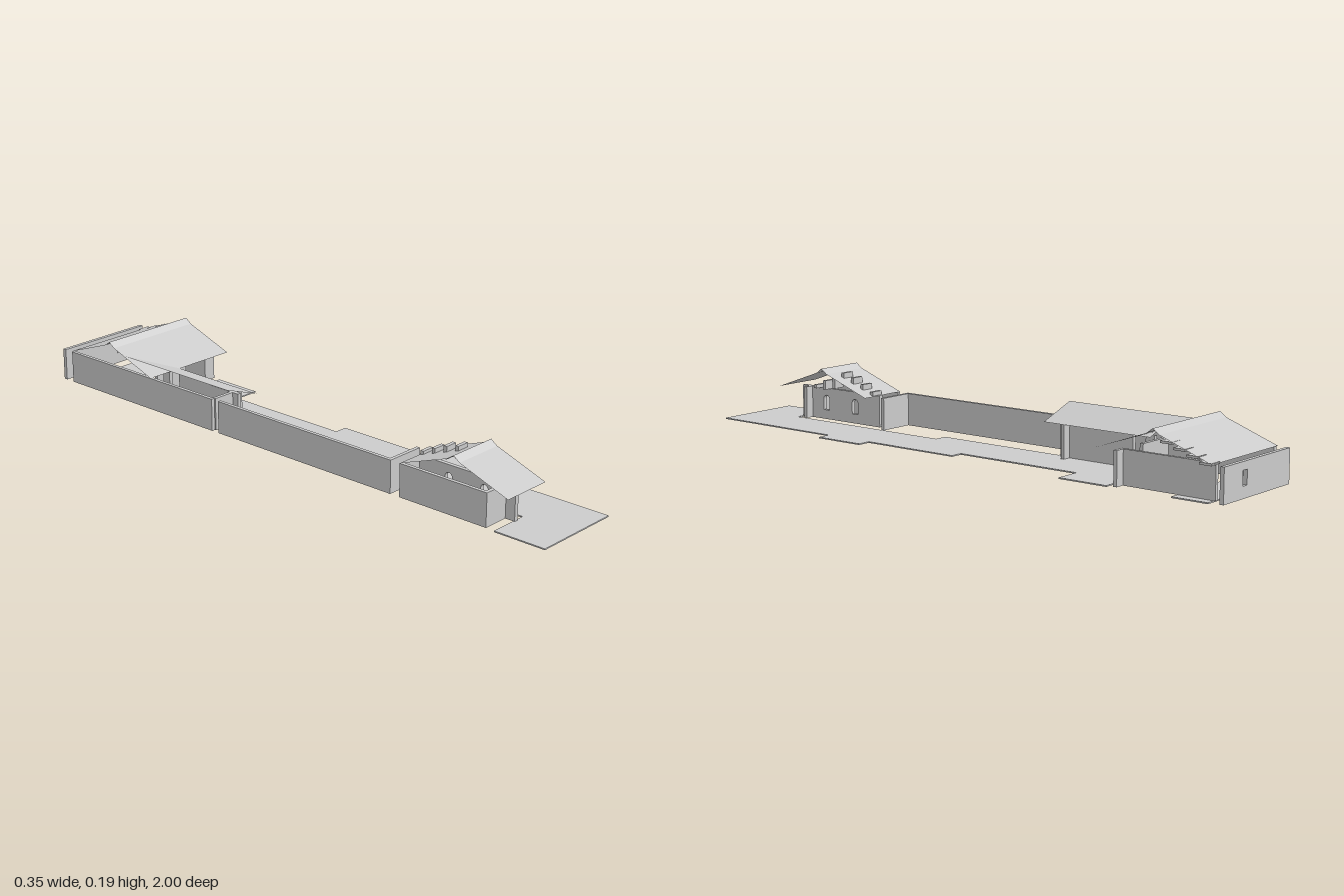
import * as THREE from 'three';

export function createModel() {
  const model = new THREE.Group();
  const mat = new THREE.MeshStandardMaterial({ color: 0xcccccc, flatShading: true, side: THREE.DoubleSide });
  const BASE = 0.004, TOP = 0.11;

  const add = (name, geo, parent = model) => {
    const m = new THREE.Mesh(geo, mat);
    m.name = name;
    parent.add(m);
    return m;
  };

  // Box given by its limits on each axis
  const block = (name, x0, x1, y0, y1, z0, z1) => {
    const m = add(name, new THREE.BoxGeometry(x1 - x0, y1 - y0, z1 - z0));
    m.position.set((x0 + x1) / 2, (y0 + y1) / 2, (z0 + z1) / 2);
    return m;
  };
  const wall = (name, x0, x1, z0, z1) => block(name, x0, x1, BASE, TOP, z0, z1);

  // Upright panel with openings, drawn in its own plane
  const panel = (name, a0, a1, holes, thick) => {
    const s = new THREE.Shape([[a0, BASE], [a1, BASE], [a1, TOP], [a0, TOP]].map(p => new THREE.Vector2(...p)));
    for (const { a, w, y0, y1, arched } of holes) {
      const h = new THREE.Path();
      const r = w / 2;
      h.moveTo(a - r, y0);
      if (arched) {
        h.lineTo(a - r, y1 - r);
        h.absarc(a, y1 - r, r, Math.PI, 0, true);
      } else {
        h.lineTo(a - r, y1);
        h.lineTo(a + r, y1);
      }
      h.lineTo(a + r, y0);
      h.closePath();
      s.holes.push(h);
    }
    return add(name, new THREE.ExtrudeGeometry(s, { depth: thick, bevelEnabled: false, curveSegments: 6 }));
  };

  // Thin sheet from four corners
  const sheet = (name, ...c) => {
    const g = new THREE.BufferGeometry();
    g.setAttribute('position', new THREE.Float32BufferAttribute(c.flat(), 3));
    g.setIndex([0, 1, 2, 0, 2, 3]);
    g.computeVertexNormals();
    return add(name, g);
  };

  // Gabled roof: two slopes and a steeper ridge cap
  const gableRoof = (name, x0, x1, zc) => {
    const profile = [[0.195, 0.11], [0.022, 0.172], [0, 0.188], [-0.022, 0.172], [-0.195, 0.11]];
    for (let i = 0; i < 4; i++) {
      const [za, ya] = profile[i], [zb, yb] = profile[i + 1];
      sheet(name + (i % 3 ? 'RidgeCap' : 'Slope'),
        [x0, ya, zc + za], [x1, ya, zc + za], [x1, yb, zc + zb], [x0, yb, zc + zb]);
    }
  };

  // Paved ground
  const outline = [
    [-0.175, 1], [0.127, 1], [0.127, 0.52], [0.172, 0.52], [0.172, 0.345], [0.127, 0.345],
    [0.127, 0], [0.085, 0], [0.085, -0.44], [0.172, -0.44], [0.172, -0.61], [-0.087, -0.61],
    [-0.087, -0.285], [-0.13, -0.285], [-0.13, -0.245], [-0.087, -0.245],
    [-0.087, 0.21], [-0.043, 0.21], [-0.043, 0.825], [-0.175, 0.825],
  ];
  const ground = new THREE.ExtrudeGeometry(
    new THREE.Shape(outline.map(([x, z]) => new THREE.Vector2(x, -z))), { depth: 0.004, bevelEnabled: false });
  ground.rotateX(-Math.PI / 2);
  add('ground', ground);
  block('rearFloor', -0.14, 0.172, 0, 0.004, -0.95, -0.83);

  // Long boundary walls
  wall('rearBoundaryWall', -0.175, -0.163, -0.955, -0.29);
  wall('middleBoundaryWall', -0.175, -0.163, -0.262, 0.446);
  wall('middleReturnWall', -0.163, -0.043, 0.434, 0.446);
  wall('frontBoundaryWall', -0.175, -0.163, 0.48, 0.797);
  panel('backWall', -0.175, 0.172, [{ a: 0.064, w: 0.022, y0: 0.04, y1: 0.085 }], 0.013).position.z = -1;

  // Front house
  wall('frontHouseFrontWall', -0.163, -0.087, 0.785, 0.797);
  wall('frontHouseStub', -0.073, -0.045, 0.785, 0.797);
  const side = panel('frontHouseSideWall', -0.83, -0.48,
    [0.72, 0.59].map(z => ({ a: -z, w: 0.026, y0: 0.035, y1: 0.085, arched: true })), 0.014);
  side.rotation.y = Math.PI / 2;
  side.position.x = -0.087;
  gableRoof('frontRoof', -0.175, -0.003, 0.675);

  // Stepped gable uprights
  const heights = [0.125, 0.145, 0.163, 0.175, 0.158, 0.14, 0.122];
  heights.forEach((h, i) => {
    const z = 0.49 + i * 0.0425;
    block('gableStep', -0.087, -0.045, Math.max(TOP, h - 0.04), h, z - 0.006, z + 0.006);
  });

  // Rear house
  wall('rearHouseFrontWall', -0.087, 0.043, -0.646, -0.634);
  wall('rearHouseStub', 0.13, 0.172, -0.646, -0.634);
  wall('rearHouseSideWall', 0.13, 0.142, -0.955, -0.646);
  gableRoof('rearRoof', -0.175, 0.172, -0.765);
  for (let i = 0; i < 4; i++) {
    const z = -0.81 - i * 0.043, y = 0.157 - i * 0.0145;
    block('rearGableStep', 0.13, 0.172, y - 0.007, y, z - 0.02, z + 0.02);
  }

  // Side wing between the houses
  wall('wingFrontWall', -0.163, -0.087, -0.297, -0.285);
  wall('wingStub', -0.073, -0.045, -0.297, -0.285);
  wall('wingSideWall', -0.087, -0.073, -0.53, -0.262);
  wall('wingPost', -0.087, -0.073, -0.605, -0.575);

  // Lean-to roof, high at the boundary, ending in steps against the rear roof
  const leanY = x => 0.157 - (x + 0.175) * 0.047 / 0.13;
  const lean = (name, x0, x1, z0, z1) => sheet(name,
    [x0, leanY(x0), z1], [x1, leanY(x1), z1], [x1, leanY(x1), z0], [x0, leanY(x0), z0]);
  lean('wingRoof', -0.175, -0.045, -0.57, -0.22);
  for (let i = 0; i < 3; i++) {
    const x0 = -0.175 + i * 0.0433;
    lean('wingRoofStep', x0, x0 + 0.0433, -0.70 + i * 0.045, -0.57);
  }
  return model;
}
